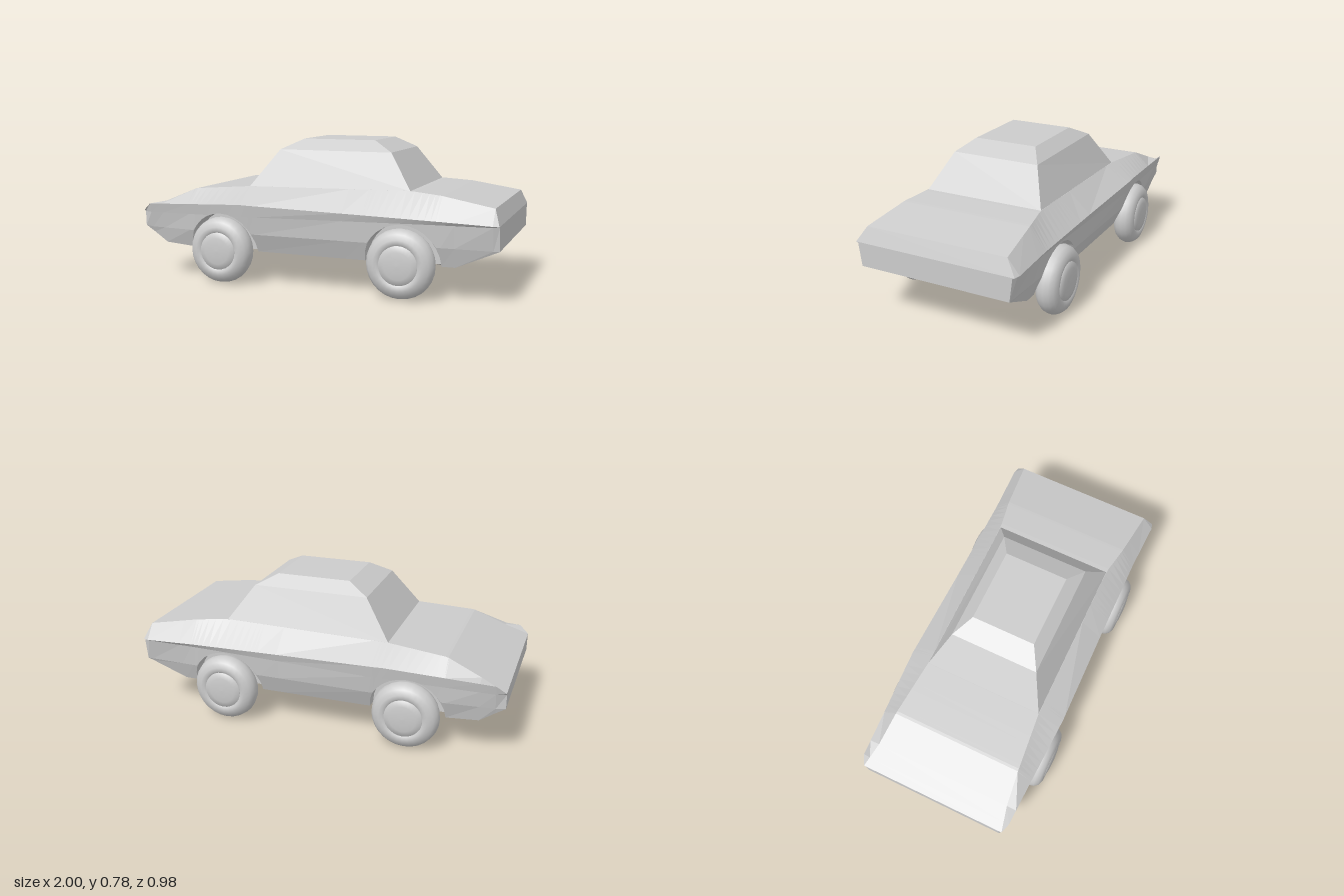
import * as THREE from 'three';

const material = new THREE.MeshStandardMaterial({ color: 0xcccccc, flatShading: true });
const smooth = new THREE.MeshStandardMaterial({ color: 0xcccccc });
const wheelX = [-0.5, 0.51];
const wheelR = 0.18, archR = 0.2;

// Piecewise-linear curve through [x, value] pairs
function along(points) {
  return (x) => {
    let i = 0;
    while (i < points.length - 2 && x > points[i + 1][0]) i++;
    const [a, b] = [points[i], points[i + 1]];
    return THREE.MathUtils.mapLinear(x, a[0], b[0], a[1], b[1]);
  };
}

// Long lines of the body: height and half-width
const floorY = along([[-1, 0.28], [-0.87, 0.19], [-0.7, 0.177], [0.78, 0.175], [1, 0.275]]);
const floorZ = along([[-1, 0.39], [-0.87, 0.385], [0.78, 0.385], [1, 0.41]]);
const sillZ = along([[-1, 0.395], [-0.7, 0.42], [-0.3, 0.428], [0.7, 0.42], [1, 0.412]]);
const creaseY = along([[-1, 0.36], [-0.33, 0.37], [1, 0.395]]);
const waistY = along([[-1, 0.37], [-0.95, 0.41], [-0.38, 0.435], [0.97, 0.402], [1, 0.4]]);
const waistZ = along([[-1, 0.41], [-0.95, 0.43], [-0.7, 0.44], [-0.33, 0.457], [0.2, 0.447], [0.7, 0.442], [0.98, 0.45], [1, 0.44]]);
const deckY = along([[-1, 0.37], [-0.69, 0.5], [-0.375, 0.522], [0.53, 0.538], [0.7, 0.525], [0.97, 0.48], [1, 0.4]]);
const deckZ = along([[-1, 0.41], [-0.87, 0.38], [-0.69, 0.36], [-0.375, 0.33], [0.53, 0.33], [0.7, 0.36], [0.97, 0.388], [1, 0.44]]);

// Half section from floor to deck; wheel wells cut in from the side
function section(x, archCentre) {
  const inArch = archCentre !== undefined;
  const yf = floorY(x);
  const rise = inArch ? Math.sqrt(Math.max(0, archR ** 2 - (x - archCentre) ** 2)) : 0;
  const yLow = inArch ? Math.max(yf, wheelR + rise) : yf;
  const ySill = Math.max(yf, 0.275);
  const yCrease = creaseY(x);
  const zCrease = waistZ(x) - 0.012;
  const sideZ = along([[yf - 1e-4, floorZ(x)], [ySill, sillZ(x)], [yCrease, zCrease], [waistY(x), waistZ(x)]]);
  const zLow = sideZ(yLow);
  const zIn = inArch ? 0.33 : zLow;
  const y1 = Math.max(ySill, yLow), y2 = Math.max(yCrease, yLow);
  const half = [[yf, zIn], [yLow, zIn], [yLow, zLow], [y1, sideZ(y1)], [y2, sideZ(y2)],
    [waistY(x), waistZ(x)], [deckY(x), deckZ(x)]];
  const left = half.map(([y, z]) => new THREE.Vector3(x, y, z));
  const right = half.map(([y, z]) => new THREE.Vector3(x, y, -z)).reverse();
  return [...left, ...right];
}

// Skin closed rings, adding caps by joining mirrored points
function loft(rings) {
  const positions = [];
  const tri = (a, b, c) => {
    const area = b.clone().sub(a).cross(c.clone().sub(a)).length();
    if (area > 1e-8) [a, b, c].forEach((p) => positions.push(p.x, p.y, p.z));
  };
  const quad = (a, b, c, d) => { tri(a, b, c); tri(a, c, d); };
  const n = rings[0].length;
  for (let s = 0; s < rings.length - 1; s++) {
    const p = rings[s], q = rings[s + 1];
    for (let i = 0; i < n; i++) {
      const j = (i + 1) % n;
      quad(p[i], q[i], q[j], p[j]);
    }
  }
  const first = rings[0], last = rings[rings.length - 1];
  for (let i = 0; i < n / 2 - 1; i++) {
    const m = n - 1 - i;
    quad(last[i], last[m], last[m - 1], last[i + 1]);
    quad(first[i], first[i + 1], first[m - 1], first[m]);
  }
  const geometry = new THREE.BufferGeometry();
  geometry.setAttribute('position', new THREE.Float32BufferAttribute(positions, 3));
  geometry.computeVertexNormals();
  return geometry;
}

function bodyGeometry() {
  const stations = [-1, -0.95, -0.87, -0.375, -0.33, 0.2, 0.78, 0.97, 1].map((x) => ({ x }));
  for (const centre of wheelX) {
    const steps = 14;
    stations.push({ x: centre - archR });
    for (let i = 0; i <= steps; i++) {
      stations.push({ x: centre - archR * Math.cos((i / steps) * Math.PI), centre });
    }
    stations.push({ x: centre + archR });
  }
  // The sort is stable, so plain and cut sections stay paired at arch ends
  stations.sort((a, b) => (Math.abs(a.x - b.x) < 1e-6 ? 0 : a.x - b.x));
  const kept = stations.map((s) => {
    const hit = wheelX.find((c) => Math.abs(s.x - c) < archR - 1e-6);
    return section(s.x, s.centre ?? hit);
  });
  return loft(kept);
}

// Cabin levels, skinned upward from the body: [x rear, x front, y rear, y front, half-width]
function cabinGeometry() {
  const levels = [
    [-0.375, 0.53, 0.52, 0.536, 0.33],
    [-0.23, 0.4, 0.72, 0.72, 0.243],
    [-0.115, 0.29, 0.777, 0.777, 0.175],
  ];
  const rings = levels.map(([x0, x1, y0, y1, z]) => [
    new THREE.Vector3(x0, y0, z), new THREE.Vector3(x0, y0, -z),
    new THREE.Vector3(x1, y1, -z), new THREE.Vector3(x1, y1, z),
  ]);
  return loft(rings.map((r) => r.reverse()).reverse());
}

function lathe(profile) {
  const points = profile.map(([r, h]) => new THREE.Vector2(r, h));
  return new THREE.LatheGeometry(points, 28).rotateX(Math.PI / 2);
}

// Wheel centred on its axle; depth measured from the car's centre line
function makeWheel() {
  const wheel = new THREE.Group();
  const tyre = new THREE.Mesh(lathe([
    [0, 0.4], [0.06, 0.4], [0.075, 0.375], [0.09, 0.36], [0.125, 0.358], [0.155, 0.37], [0.173, 0.392],
    [0.18, 0.42], [0.174, 0.447], [0.157, 0.469], [0.13, 0.48], [0.112, 0.48], [0.1, 0.472],
  ]), smooth);
  tyre.name = 'tyre';
  const hub = new THREE.Mesh(lathe([[0.102, 0.465], [0.1, 0.479], [0.07, 0.486], [0.035, 0.489], [0, 0.49]]), smooth);
  hub.name = 'hubcap';
  wheel.add(tyre, hub);
  return wheel;
}

export function createModel() {
  const car = new THREE.Group();
  car.name = 'car';
  const body = new THREE.Mesh(bodyGeometry(), material);
  body.name = 'body';
  const cabin = new THREE.Mesh(cabinGeometry(), material);
  cabin.name = 'cabin';
  car.add(body, cabin);

  // Four wheels, turned round for the far side
  wheelX.forEach((x, end) => {
    for (const side of [1, -1]) {
      const wheel = makeWheel();
      wheel.name = (end ? 'front' : 'rear') + (side > 0 ? 'NearWheel' : 'FarWheel');
      wheel.position.set(x, wheelR, 0);
      if (side < 0) wheel.rotation.y = Math.PI;
      car.add(wheel);
    }
  });
  return car;
}
